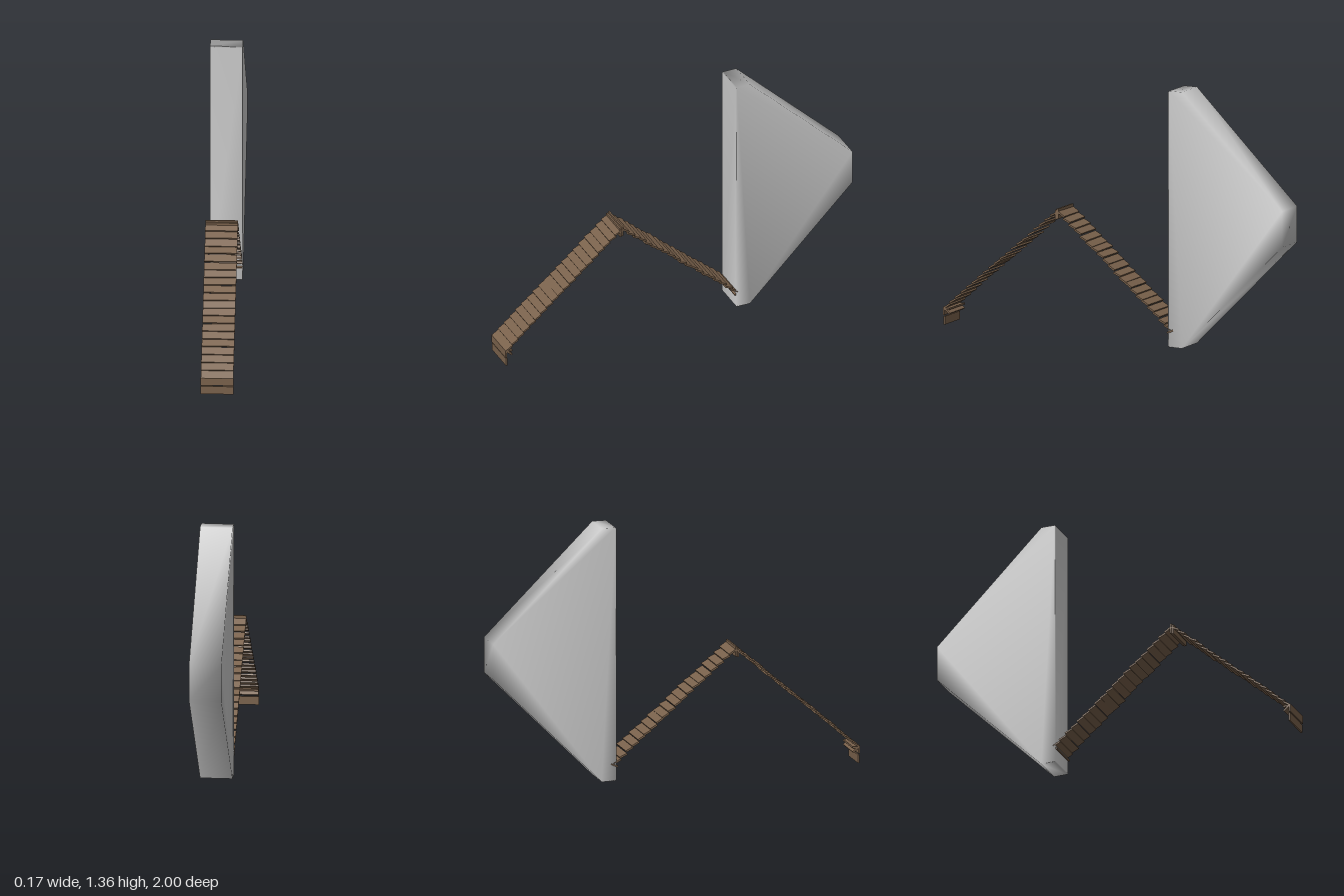
import * as THREE from 'three';
import { mergeVertices } from 'three/addons/utils/BufferGeometryUtils.js';

const WIDTH = 0.17;

export function createModel() {
  const model = new THREE.Group();
  model.name = 'plankRampAndSlab';
  const wood = new THREE.MeshStandardMaterial({ color: 0x7a624c });
  wood.name = 'brown wood';
  const stone = new THREE.MeshStandardMaterial({ color: 0xcccccc });
  stone.name = 'light grey';

  // Small repeatable jitter for the uneven boards
  let seed = 7;
  const jitter = (amount) => {
    seed = (seed * 16807) % 2147483647;
    return (seed / 2147483647 - 0.5) * 2 * amount;
  };

  // Tapered slab: six-sided side profile, smooth normals across its edges
  const profile = [[-0.33, 0.005], [-0.33, 1.355], [-0.335, 1.36], [-0.41, 1.36],
    [-1, 0.78], [-1, 0.59], [-0.41, 0], [-0.335, 0]];
  const shape = new THREE.Shape(profile.map(([z, y]) => new THREE.Vector2(z, y)));
  let slabGeometry = new THREE.ExtrudeGeometry(shape, { depth: WIDTH, bevelEnabled: false });
  slabGeometry.translate(0, 0, -WIDTH / 2).rotateY(-Math.PI / 2);
  slabGeometry.deleteAttribute('uv');
  slabGeometry.deleteAttribute('normal');
  slabGeometry = mergeVertices(slabGeometry);
  slabGeometry.computeVertexNormals();
  const slab = new THREE.Mesh(slabGeometry, stone);
  slab.name = 'slab';
  model.add(slab);

  // One board, tilted about x (positive lowers its front edge)
  const plank = (parent, name, y, z, tilt, length = 0.044, roll = 0) => {
    const board = new THREE.Mesh(new THREE.BoxGeometry(WIDTH, 0.009, length), wood);
    board.name = name;
    board.position.set(0, y, z);
    board.rotation.set(tilt, 0, roll);
    parent.add(board);
  };

  // Two flights of overlapping boards, meeting at the ridge
  const flight = (name, zLow, yLow, zHigh, yHigh, tilt) => {
    const group = new THREE.Group();
    group.name = name;
    const count = 20;
    for (let i = 0; i < count; i++) {
      const t = (i + 0.5) / count;
      plank(group, 'plank',
        THREE.MathUtils.lerp(yLow, yHigh, t) + jitter(0.003),
        THREE.MathUtils.lerp(zLow, zHigh, t),
        tilt + jitter(0.09), 0.044, jitter(0.015));
    }
    model.add(group);
  };
  flight('frontFlight', 0.99, 0.09, 0.33, 0.66, 0.5);
  flight('backFlight', -0.34, 0.09, 0.32, 0.66, -0.5);

  // Ridge boards
  plank(model, 'ridgeBoard', 0.648, 0.322, Math.PI / 2, 0.054);
  plank(model, 'ridgeBoard', 0.642, 0.333, Math.PI / 2, 0.05);

  // Upright boards and brace at the front foot
  plank(model, 'footBoard', 0.022, 0.99, Math.PI / 2, 0.044);
  plank(model, 'footBoard', 0.072, 0.993, Math.PI / 2, 0.042);
  plank(model, 'footBrace', 0.073, 0.974, -0.7, 0.04);
  plank(model, 'footCap', 0.085, 0.975, 0.05, 0.036);

  // Last board against the slab
  plank(model, 'backBoard', 0.083, -0.34, 0.4, 0.04);

  return model;
}
